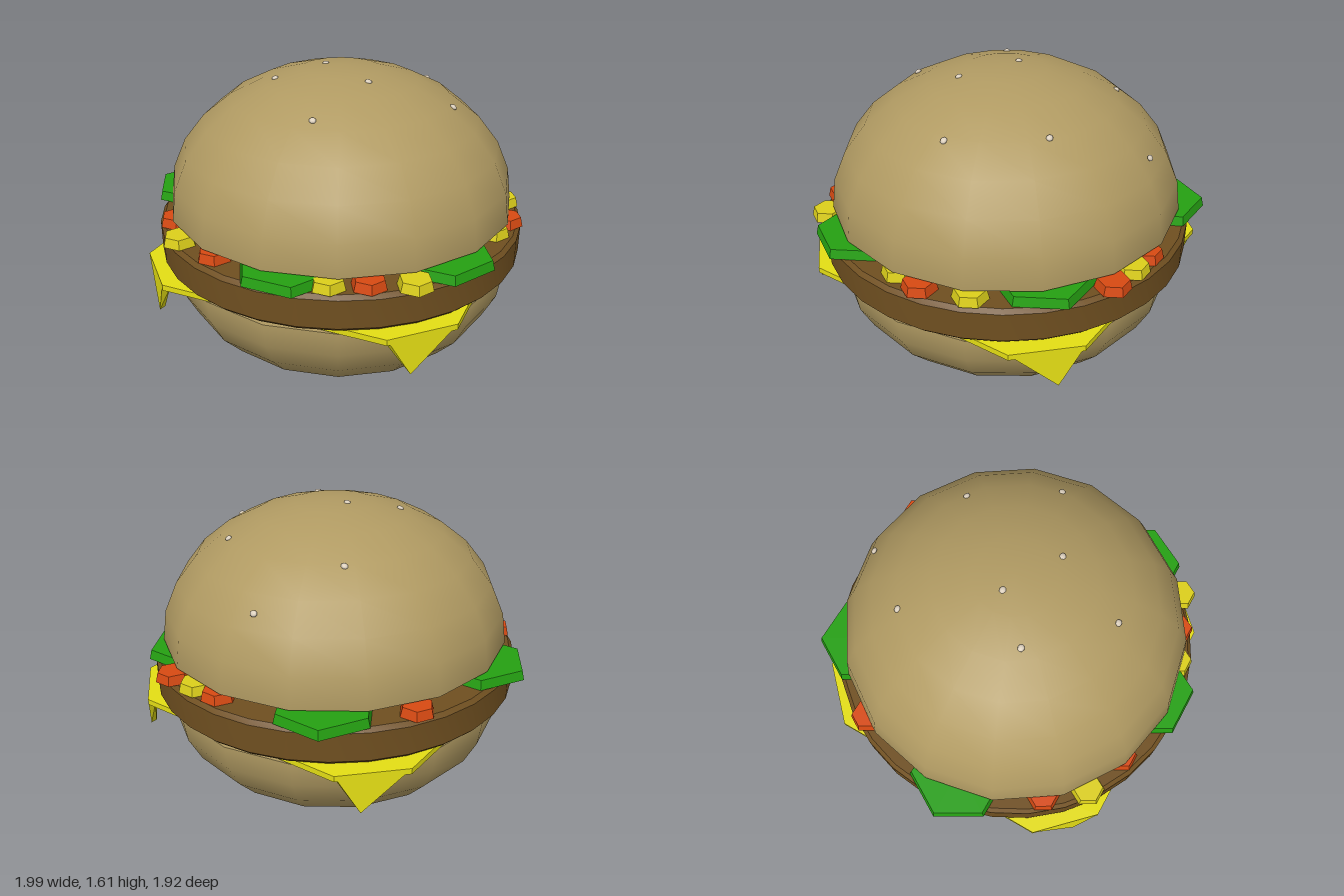
import * as THREE from 'three';
import { mergeGeometries, toCreasedNormals } from 'three/addons/utils/BufferGeometryUtils.js';
import { ConvexGeometry } from 'three/addons/geometries/ConvexGeometry.js';

const mat = (name, color, flatShading = false) => {
  const m = new THREE.MeshStandardMaterial({ color, flatShading });
  m.name = name;
  return m;
};

export function createModel() {
  const group = new THREE.Group();
  const bread = mat('bread', 0xb09a62);
  const meat = mat('meat', 0x6f4f20);
  const cheese = mat('cheese', 0xe4de14, true);
  const green = mat('lettuce green', 0x25a012, true);
  const red = mat('tomato red', 0xd84a12, true);
  const yellow = mat('onion yellow', 0xdccf1a, true);
  const cream = mat('seed cream', 0xd9cdbb);

  const CX = 0.04, CZ = -0.015, R = 0.9;
  const add = (name, geometry, material, x, y, z, parent = group) => {
    const mesh = new THREE.Mesh(geometry, material);
    mesh.name = name;
    mesh.position.set(x, y, z);
    parent.add(mesh);
    return mesh;
  };
  const subgroup = (name) => {
    const g = new THREE.Group();
    g.name = name;
    group.add(g);
    return g;
  };

  // Buns: squashed half spheres closed by a disc
  const bun = (height) => {
    const dome = new THREE.SphereGeometry(1, 16, 7, 0, Math.PI * 2, 0, Math.PI / 2);
    dome.scale(R, height, R);
    const disc = new THREE.CircleGeometry(R, 16).rotateX(Math.PI / 2);
    return mergeGeometries([dome, disc]);
  };
  add('topBun', bun(0.71), bread, CX, 0.905, CZ);
  add('bottomBun', bun(0.615).rotateX(Math.PI), bread, CX, 0.62, CZ);

  // Sesame seeds resting on the top bun
  const seeds = subgroup('sesameSeeds');
  const seedGeo = new THREE.SphereGeometry(0.018, 8, 6).scale(1, 0.6, 0.9);
  for (const [x, z] of [[-0.06, -0.77], [-0.32, -0.44], [0.35, -0.465], [0.61, -0.075],
    [-0.05, -0.03], [-0.235, 0.17], [0.24, 0.12], [0.115, 0.485]]) {
    const dx = (x - CX) / R, dz = (z - CZ) / R;
    const h = Math.sqrt(1 - dx * dx - dz * dz);
    const seed = add('seed', seedGeo, cream, x, 0.905 + 0.705 * h, z, seeds);
    const normal = new THREE.Vector3(dx / R, h / 0.71, dz / R).normalize();
    seed.quaternion.setFromUnitVectors(new THREE.Vector3(0, 1, 0), normal);
  }

  // Patty: disc with bevelled rims
  const profile = [[0, 0.66], [0.93, 0.66], [0.95, 0.68], [0.95, 0.825], [0.93, 0.845], [0, 0.845]]
    .map(([x, y]) => new THREE.Vector2(x, y));
  add('patty', toCreasedNormals(new THREE.LatheGeometry(profile, 32), 0.5), meat, CX, 0, CZ);

  // Cheese slice: square with its corners folded down
  const slice = subgroup('cheeseSlice');
  slice.position.set(0.035, 0, CZ);
  const H = 0.835, C = 0.585;
  const outline = [[H, -C], [H, C], [C, H], [-C, H], [-H, C], [-H, -C], [-C, -H], [C, -H]]
    .map(([x, y]) => new THREE.Vector2(x, y));
  const slab = new THREE.ExtrudeGeometry(new THREE.Shape(outline), { depth: 0.03, bevelEnabled: false });
  add('cheeseSlab', slab.rotateX(-Math.PI / 2), cheese, 0, 0.625, 0, slice);
  for (const sx of [1, -1]) {
    for (const sz of [1, -1]) {
      const points = [[H, 0.655, C], [C, 0.655, H], [0.675, 0.445, 0.755],
        [H - 0.025, 0.63, C - 0.025], [C - 0.025, 0.63, H - 0.025], [0.655, 0.46, 0.735]]
        .map(([x, y, z]) => new THREE.Vector3(x * sx, y, z * sz));
      add('cheeseCorner', new ConvexGeometry(points), cheese, 0, 0, 0, slice);
    }
  }

  // Chopped vegetables: six-sided tapered pieces around the patty's rim
  const scatter = (groupName, name, radius, material, spots) => {
    const parent = subgroup(groupName);
    const geo = new THREE.CylinderGeometry(radius - 0.012, radius, 0.048, 6, 1, false, Math.PI / 2);
    for (const [x, z] of spots) add(name, geo, material, x, 0.871, z, parent);
  };
  scatter('lettuce', 'lettucePiece', 0.25, green,
    [[0.1, 0.74], [-0.75, 0.11], [-0.38, -0.685], [0.72, 0.36], [0.53, -0.56]]);
  scatter('tomato', 'tomatoPiece', 0.087, red,
    [[0.405, -0.855], [0.1, -0.865], [-0.73, -0.455], [-0.635, 0.53],
      [-0.265, 0.775], [0.495, 0.725], [0.905, -0.14]]);
  scatter('onion', 'onionPiece', 0.087, yellow,
    [[-0.5, 0.71], [0.685, 0.65], [0.33, 0.8], [0.24, -0.865], [0.83, -0.37], [0.87, 0.01]]);

  return group;
}
